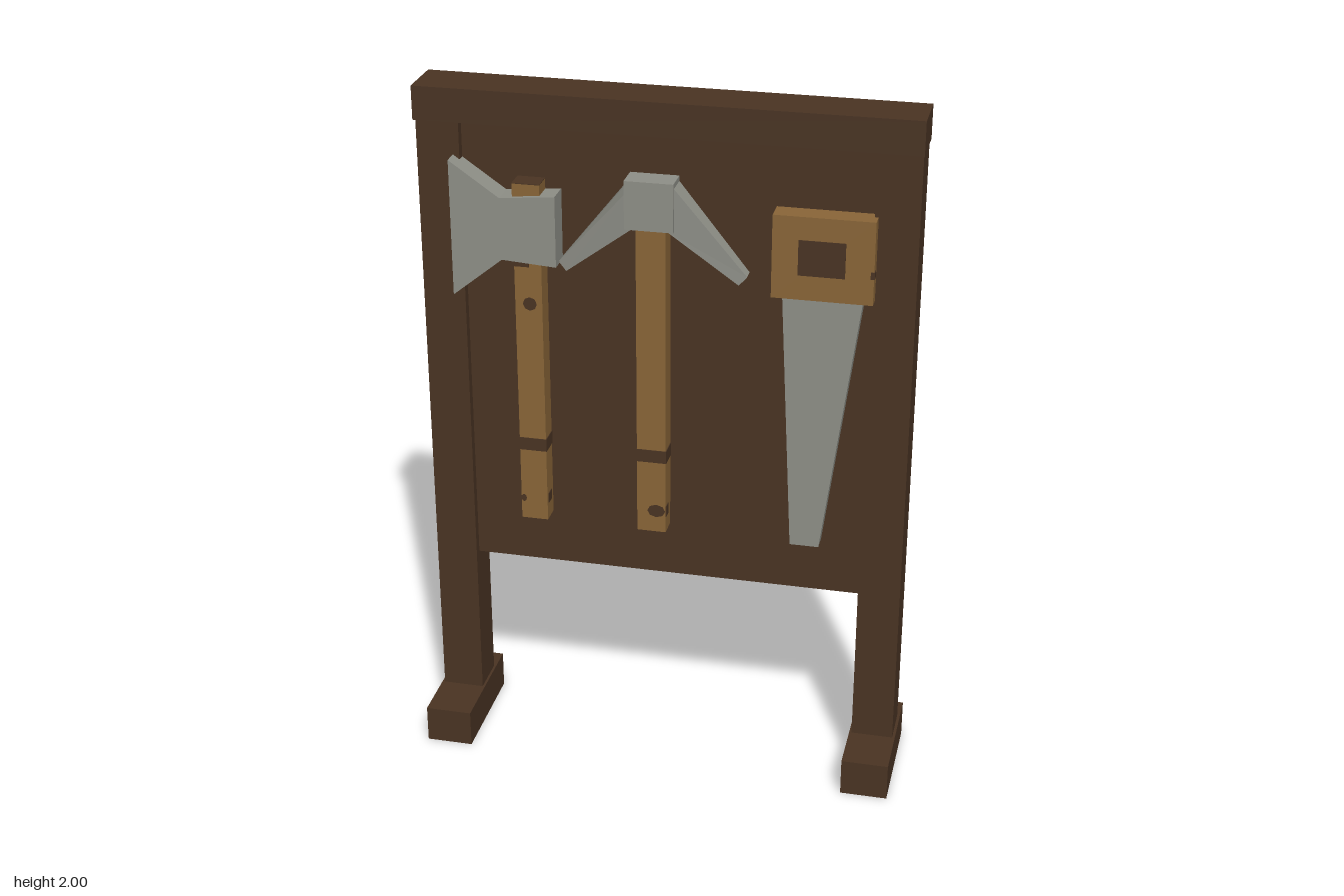
import * as THREE from 'three';

const flat = (name, color) => {
  const m = new THREE.MeshStandardMaterial({ color });
  m.name = name;
  return m;
};

export function createModel() {
  const root = new THREE.Group();
  root.name = 'toolBoard';
  const darkWood = flat('darkWood', 0x4a3423);
  const handleWood = flat('handleWood', 0x8a6638);
  const steel = flat('steel', 0x8f9088);
  const panelZ = -0.005; // front face of the board

  const add = (parent, name, geometry, material) => {
    const mesh = new THREE.Mesh(geometry, material);
    mesh.name = name;
    parent.add(mesh);
    return mesh;
  };
  // Box given by its limits on each axis
  const box = (parent, name, material, [x0, x1], [y0, y1], [z0, z1]) => {
    const g = new THREE.BoxGeometry(x1 - x0, y1 - y0, z1 - z0);
    g.translate((x0 + x1) / 2, (y0 + y1) / 2, (z0 + z1) / 2);
    return add(parent, name, g, material);
  };
  // Flat outline extruded from the board out to z1
  const plate = (points, z1) => {
    const shape = new THREE.Shape(points.map(([x, y]) => new THREE.Vector2(x, y)));
    const g = new THREE.ExtrudeGeometry(shape, { depth: z1 - panelZ, bevelEnabled: false });
    return g.translate(0, 0, panelZ);
  };
  // Small round knot on the front of a handle
  const knot = (parent, x, y, rx, ry, z) => {
    const g = new THREE.CircleGeometry(1, 8).scale(rx, ry, 1).translate(x, y, z + 0.002);
    add(parent, 'knot', g, darkWood);
  };
  const group = (name) => {
    const g = new THREE.Group();
    g.name = name;
    root.add(g);
    return g;
  };

  // Frame
  const frame = group('frame');
  box(frame, 'topBeam', darkWood, [-0.69, 0.69], [1.905, 2], [-0.115, 0.035]);
  box(frame, 'panel', darkWood, [-0.57, 0.57], [0.57, 1.91], [-0.075, panelZ]);
  for (const s of [-1, 1]) {
    const span = (a, b) => (s > 0 ? [a, b] : [-b, -a]);
    box(frame, 'post', darkWood, span(0.567, 0.687), [0.1, 1.91], [-0.1, 0.02]);
    box(frame, 'foot', darkWood, span(0.56, 0.695), [0, 0.11], [-0.172, 0.172]);
  }

  // Straight handle with a dark grip band
  const handle = (parent, x0, x1, y1) => {
    box(parent, 'handle', handleWood, [x0, x1], [0.735, y1], [panelZ, 0.055]);
    box(parent, 'gripBand', darkWood, [x0 - 0.002, x1 + 0.002], [0.955, 0.993], [panelZ, 0.057]);
  };

  // Axe
  const axe = group('axe');
  handle(axe, -0.412, -0.335, 1.753);
  box(axe, 'handleCap', darkWood, [-0.412, -0.335], [1.753, 1.755], [panelZ, 0.055]);
  box(axe, 'headShadowBand', darkWood, [-0.412, -0.37], [1.515, 1.53], [0.05, 0.057]);
  knot(axe, -0.37, 1.407, 0.02, 0.02, 0.055);
  knot(axe, -0.404, 0.8, 0.008, 0.012, 0.055);
  box(axe, 'sideKnot', darkWood, [-0.336, -0.333], [0.785, 0.815], [0.015, 0.045]);
  add(axe, 'axeHead', plate([
    [-0.585, 1.42], [-0.443, 1.535], [-0.29, 1.525],
    [-0.29, 1.728], [-0.445, 1.713], [-0.585, 1.81],
  ], 0.067), steel);

  // Pick hammer
  const hammer = group('hammer');
  handle(hammer, -0.07, 0.013, 1.66);
  knot(hammer, -0.014, 0.802, 0.026, 0.02, 0.055);
  box(hammer, 'sideKnot', darkWood, [0.012, 0.015], [0.785, 0.818], [0.03, 0.055]);
  box(hammer, 'hammerBlock', steel, [-0.098, 0.037], [1.653, 1.79], [panelZ, 0.07]);
  const middle = -0.03;
  for (const s of [-1, 1]) {
    const outline = [[0.045, 1.655], [0.24, 1.505], [0.262, 1.53], [0.067, 1.775], [0.045, 1.775]]
      .map(([x, y]) => [middle + s * x, y]);
    const arm = plate(outline, 0.062);
    // Thin the arm toward its tip
    const p = arm.attributes.position;
    for (let i = 0; i < p.count; i++) {
      if (p.getZ(i) < 0.03) continue;
      const t = (Math.abs(p.getX(i) - middle) - 0.067) / 0.195;
      p.setZ(i, 0.062 - 0.03 * Math.max(0, t));
    }
    arm.computeVertexNormals();
    add(hammer, 'hammerArm', arm, steel);
  }

  // Saw
  const saw = group('saw');
  add(saw, 'sawBlade', plate([[0.37, 0.735], [0.452, 0.735], [0.55, 1.5], [0.33, 1.5]], 0.045), steel);
  box(saw, 'sawHandle', handleWood, [0.302, 0.577], [1.49, 1.725], [panelZ, 0.06]);
  box(saw, 'gripOpening', darkWood, [0.373, 0.5], [1.56, 1.66], [0.058, 0.062]);
  box(saw, 'sawKnot', darkWood, [0.568, 0.579], [1.565, 1.585], [0.04, 0.062]);

  return root;
}
